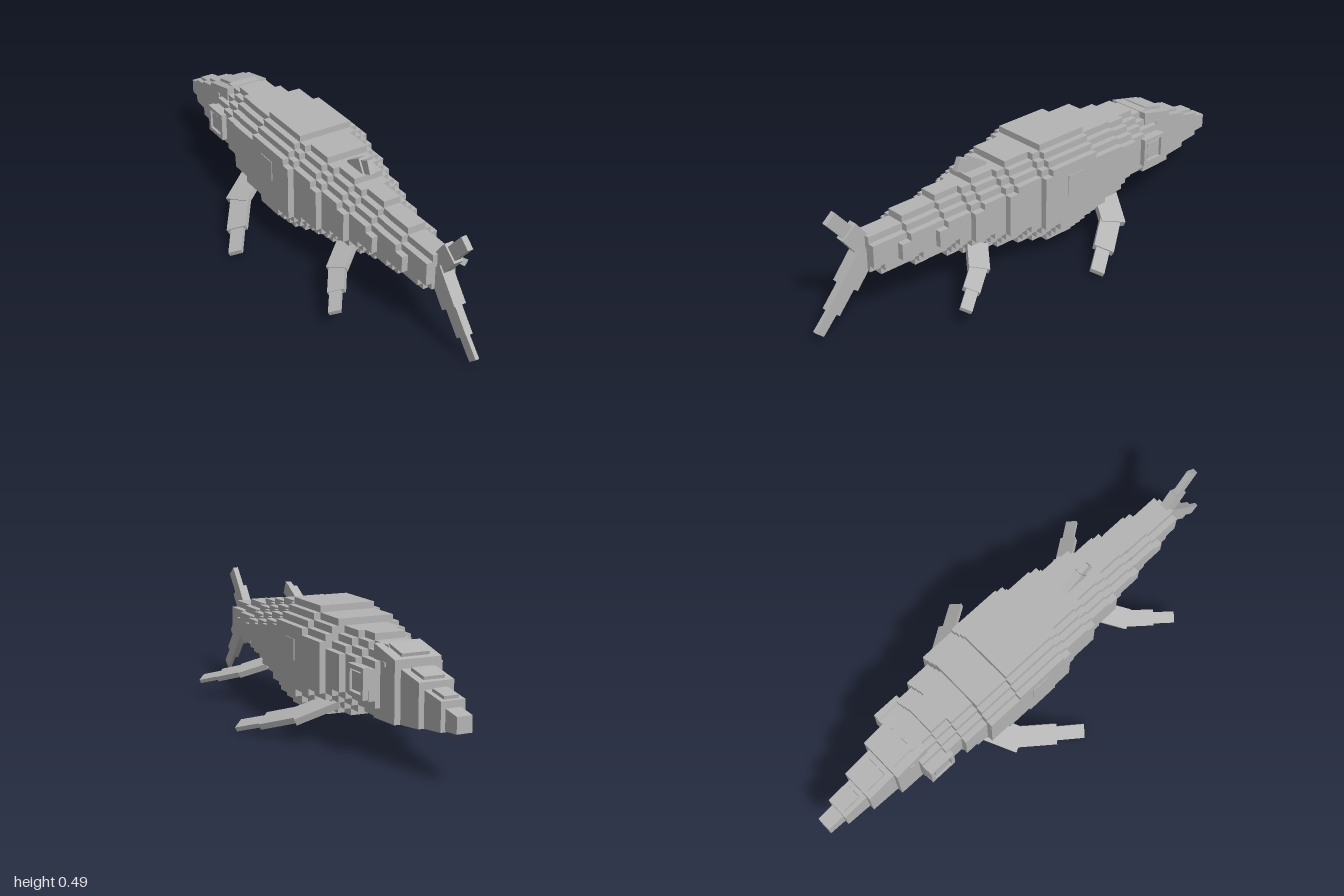
import * as THREE from 'three';

export function createModel() {
  const model = new THREE.Group();
  const grey = new THREE.MeshStandardMaterial({ color: 0xb4b4b4 });
  grey.name = 'plain grey';

  // Box given by its centre and size, optionally pitched about x
  function box(name, x, y, z, w, h, d, pitch = 0, parent = model) {
    const mesh = new THREE.Mesh(new THREE.BoxGeometry(w, h, d), grey);
    mesh.name = name;
    mesh.position.set(x, y, z);
    mesh.rotation.x = pitch;
    parent.add(mesh);
    return mesh;
  }

  // Flat beam from a to b, lying in the plane with the given normal
  function beam(name, a, b, width, thick, normal, parent = model) {
    const p = new THREE.Vector3(...a), q = new THREE.Vector3(...b);
    const dir = q.clone().sub(p);
    const len = dir.length();
    dir.normalize();
    const side = new THREE.Vector3(...normal).cross(dir).normalize();
    const up = dir.clone().cross(side);
    const mid = p.add(q).multiplyScalar(0.5);
    const mesh = box(name, mid.x, mid.y, mid.z, width, thick, len, 0, parent);
    mesh.setRotationFromMatrix(new THREE.Matrix4().makeBasis(side, up, dir));
  }

  // Body: stepped slices; each profile lists [start z, value] going towards the tail
  const top = [[-0.605, 0.393], [-0.51, 0.417], [-0.33, 0.443], [-0.185, 0.468], [0.04, 0.443],
    [0.19, 0.417], [0.33, 0.393], [0.48, 0.368], [0.63, 0.34]];
  const bottom = [[-0.605, 0.125], [-0.38, 0.1], [-0.24, 0.075], [-0.13, 0.048], [0, 0.075],
    [0.125, 0.1], [0.285, 0.122], [0.43, 0.148], [0.58, 0.173], [0.73, 0.2]];
  const half = [[-0.605, 0.135], [-0.435, 0.16], [-0.33, 0.185], [0.075, 0.16], [0.23, 0.135],
    [0.375, 0.11], [0.52, 0.087], [0.67, 0.062]];
  const at = (profile, z) => profile.filter(p => p[0] <= z).pop()[1];
  const cuts = [...new Set([...top, ...bottom, ...half].map(p => p[0])), 0.777].sort((a, b) => a - b);
  const body = new THREE.Group();
  body.name = 'body';
  model.add(body);
  for (let i = 0; i < cuts.length - 1; i++) {
    const z = (cuts[i] + cuts[i + 1]) / 2, d = cuts[i + 1] - cuts[i];
    const t = at(top, z), b = at(bottom, z), w = at(half, z);
    const steps = w > 0.1 ? 3 : w > 0.07 ? 2 : 1;
    for (let k = 0; k <= steps; k++) {
      const inset = 0.026 * (steps - k);
      box('bodySlice', 0, (t + b) / 2, z, 2 * (w - 0.025 * k), t - b - 2 * inset, d, 0, body);
    }
  }

  // Head and snout: wedge blocks that shrink forwards, each with a raised top plate
  // [back z, front z, top back, top front, bottom back, bottom front, half width]
  const snout = [
    [-0.56, -0.705, 0.395, 0.362, 0.135, 0.14, 0.09],
    [-0.69, -0.825, 0.333, 0.308, 0.138, 0.152, 0.067],
    [-0.81, -0.93, 0.284, 0.266, 0.15, 0.163, 0.046],
    [-0.92, -1, 0.243, 0.23, 0.165, 0.172, 0.029],
  ];
  snout.forEach(([zb, zf, tb, tf, bb, bf, w], i) => {
    const shape = new THREE.Shape();
    shape.moveTo(-zb, bb);
    shape.lineTo(-zf, bf);
    shape.lineTo(-zf, tf);
    shape.lineTo(-zb, tb);
    const geo = new THREE.ExtrudeGeometry(shape, { depth: 2 * w, bevelEnabled: false });
    geo.translate(0, 0, -w).rotateY(Math.PI / 2);
    const block = new THREE.Mesh(geo, grey);
    block.name = 'snoutBlock';
    model.add(block);
    if (i < 3) {
      const pitch = Math.atan2(tf - tb, zb - zf);
      box('snoutPlate', 0, (tb + tf) / 2 + 0.002, (zb + zf) / 2 - 0.01,
        w * 1.2, 0.016, (zb - zf) * 0.62, pitch);
    }
  });

  for (const s of [-1, 1]) {
    // Square eye with a raised rim around a sunken pupil
    const eye = new THREE.Group();
    eye.name = 'eye';
    eye.position.set(s * 0.143, 0.265, -0.548);
    model.add(eye);
    for (const e of [-1, 1]) {
      box('eyeRim', 0, e * 0.048, 0, 0.026, 0.016, 0.112, 0, eye);
      box('eyeRim', 0, 0, e * 0.048, 0.026, 0.08, 0.016, 0, eye);
    }
    box('pupil', 0, 0, 0, 0.016, 0.066, 0.066, 0, eye);
    box('nostril', s * 0.09, 0.335, -0.635, 0.008, 0.016, 0.016);
    box('sidePatch', s * 0.185, 0.3, -0.08, 0.006, 0.08, 0.08);

    // Front and rear paddles, three overlapping segments each
    const n = [s * 0.46, 0.89, 0];
    beam('frontFinRoot', [s * 0.1, 0.148, -0.315], [s * 0.235, 0.08, -0.235], 0.1, 0.026, n);
    beam('frontFinMiddle', [s * 0.205, 0.093, -0.255], [s * 0.305, 0.042, -0.11], 0.08, 0.024, n);
    beam('frontFinTip', [s * 0.285, 0.05, -0.135], [s * 0.365, 0.01, -0.016], 0.054, 0.018, n);
    beam('rearFinRoot', [s * 0.09, 0.158, 0.335], [s * 0.18, 0.117, 0.405], 0.08, 0.024, n);
    beam('rearFinMiddle', [s * 0.155, 0.128, 0.375], [s * 0.235, 0.088, 0.49], 0.064, 0.022, n);
    beam('rearFinTip', [s * 0.22, 0.096, 0.465], [s * 0.287, 0.064, 0.56], 0.045, 0.016, n);
  }

  // Dorsal fin, leaning back in two pieces
  const flat = [1, 0, 0];
  beam('dorsalFinBase', [0, 0.4, 0.23], [0, 0.443, 0.305], 0.058, 0.036, flat);
  beam('dorsalFinTip', [0, 0.415, 0.25], [0, 0.455, 0.345], 0.052, 0.022, flat);

  // Forked tail
  beam('tailUpperRoot', [0, 0.28, 0.765], [0, 0.375, 0.838], 0.075, 0.036, flat);
  beam('tailUpperTip', [0, 0.35, 0.82], [0, 0.45, 0.905], 0.052, 0.022, flat);
  beam('tailLowerRoot', [0, 0.28, 0.765], [0, 0.165, 0.858], 0.085, 0.048, flat);
  beam('tailLowerMiddle', [0, 0.18, 0.845], [0, 0.085, 0.925], 0.064, 0.028, flat);
  beam('tailLowerTip', [0, 0.1, 0.912], [0, 0.02, 0.984], 0.044, 0.015, flat);

  return model;
}
